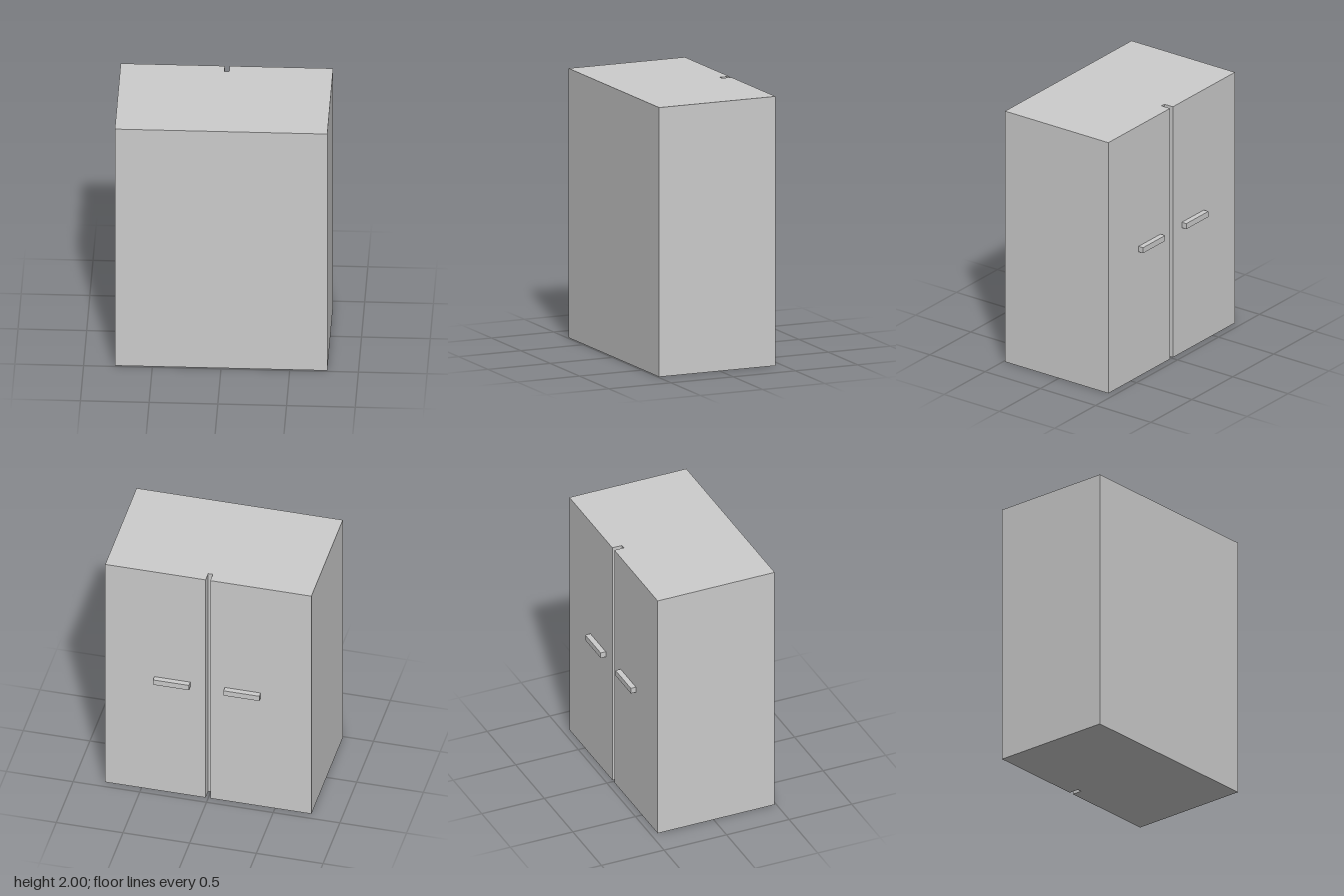
import * as THREE from 'three';

const material = new THREE.MeshStandardMaterial({ color: 0xcccccc, flatShading: true });

// Box given by its minimum and maximum on each axis
function block(name, [x0, x1], [y0, y1], [z0, z1]) {
  const mesh = new THREE.Mesh(new THREE.BoxGeometry(x1 - x0, y1 - y0, z1 - z0), material);
  mesh.name = name;
  mesh.position.set((x0 + x1) / 2, (y0 + y1) / 2, (z0 + z1) / 2);
  return mesh;
}

export function createModel() {
  const model = new THREE.Group();
  model.name = 'cupboard';

  const halfWidth = 0.773, height = 2;
  const doorFace = -0.447, doorInner = -0.37, bodyEnd = 0.488;

  // Solid carcass
  model.add(block('body', [-halfWidth, halfWidth], [0, height], [doorInner, bodyEnd]));

  // Two doors with a narrow gap between them, each with a bar handle
  const doors = [
    { side: 'right', door: [-halfWidth, -0.015], handle: [-0.393, -0.124] },
    { side: 'left', door: [0.02, halfWidth], handle: [0.135, 0.404] },
  ];
  for (const { side, door, handle } of doors) {
    model.add(block(side + 'Door', door, [0, height], [doorFace, doorInner]));
    model.add(block(side + 'Handle', handle, [0.995, 1.039], [-0.488, doorFace]));
  }

  return model;
}
